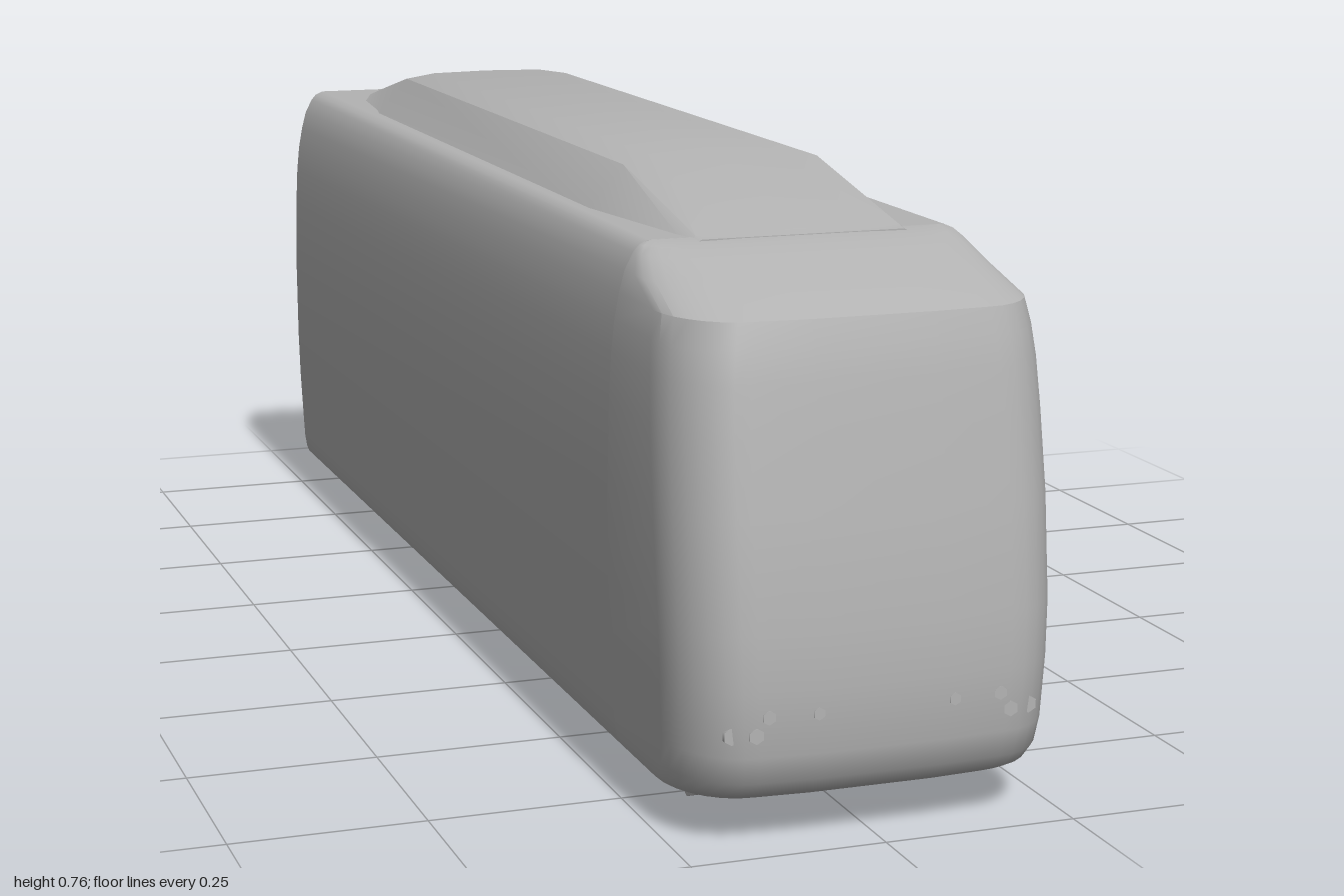
import * as THREE from 'three';
import { toCreasedNormals } from 'three/addons/utils/BufferGeometryUtils.js';

const paint = new THREE.MeshStandardMaterial({ color: 0xb4b4b4 });
paint.name = 'grey paint';

// Height, half width and front position of each body layer
const LAYERS = [
  [0.055, 0.235, 0.95], [0.065, 0.239, 0.97], [0.085, 0.242, 0.987], [0.12, 0.244, 0.997],
  [0.2, 0.248, 1.0], [0.27, 0.25, 0.998], [0.4, 0.251, 0.982], [0.5, 0.249, 0.966],
  [0.56, 0.246, 0.957], [0.6, 0.242, 0.949], [0.633, 0.236, 0.94], [0.66, 0.229, 0.855],
  [0.682, 0.218, 0.78], [0.691, 0.21, 0.745], [0.696, 0.198, 0.715],
];

// Skin a stack of closed rings and cap both ends
function loft(name, rings, crease = 0.6) {
  const n = rings[0].length, index = [];
  const last = (rings.length - 1) * n;
  for (let r = 0; r < rings.length - 1; r++) {
    for (let i = 0; i < n; i++) {
      const a = r * n + i, b = r * n + (i + 1) % n;
      index.push(a, a + n, b, b, a + n, b + n);
    }
  }
  for (let i = 1; i < n - 1; i++) {
    index.push(0, i, i + 1, last, last + i + 1, last + i);
  }
  const g = new THREE.BufferGeometry();
  g.setAttribute('position', new THREE.Float32BufferAttribute(rings.flat(2), 3));
  g.setIndex(index);
  const mesh = new THREE.Mesh(toCreasedNormals(g, crease), paint);
  mesh.name = name;
  return mesh;
}

// Plan outline of the cab at one layer: straight sides, rounded corners, slightly bowed front
function cabRing([y, w, front]) {
  const back = 0.7, rx = 0.085, rz = Math.min(0.11, (front - back) * 0.8);
  const half = [[w, y, back]];
  for (let i = 0; i <= 7; i++) {
    const a = (i / 7) * Math.PI / 2;
    half.push([w - rx + rx * Math.cos(a), y, front - 0.006 - rz + rz * Math.sin(a)]);
  }
  half.push([0.08, y, front - 0.001]);
  return [...half, ...half.map(([x, h, z]) => [-x, h, z]).reverse()];
}

// Cross-section of the roof fairing
function fairingRing([z, foot, shoulder, rise]) {
  const base = 0.69;
  const half = [[foot, base, z], [shoulder, base + 0.006 + rise * 0.86, z],
    [shoulder * 0.66, base + 0.006 + rise * 0.975, z]];
  return [...half.map(([x, y, zz]) => [-x, y, zz]), [0, base + 0.006 + rise, z], ...half.reverse()];
}

export function createModel() {
  const model = new THREE.Group();
  model.name = 'railcar';

  // Long body with curved sides and rounded shoulders
  model.add(loft('body', LAYERS.map(([y, w]) =>
    [[w, y, -1], [w, y, 0.7], [-w, y, 0.7], [-w, y, -1]])));

  // Cab with leaning windscreen and sloping brow
  model.add(loft('cab', LAYERS.map(cabRing)));

  // Roof fairing, tapered at both ends
  model.add(loft('roofFairing', [
    [-0.93, 0.145, 0.13, 0], [-0.84, 0.17, 0.132, 0.022], [-0.66, 0.19, 0.137, 0.064],
    [0.43, 0.19, 0.137, 0.064], [0.7, 0.152, 0.137, 0.003], [0.72, 0.148, 0.135, 0],
  ].map(fairingRing), 0.45));

  // Wheels, mostly hidden under the floor
  const wheelShape = new THREE.CylinderGeometry(0.055, 0.055, 0.02, 8).rotateZ(Math.PI / 2);
  const wheelGeometry = toCreasedNormals(wheelShape, 0.5);
  for (const side of [-1, 1]) {
    for (const z of [0.77, 0.39]) {
      const wheel = new THREE.Mesh(wheelGeometry, paint);
      wheel.name = 'wheel';
      wheel.position.set(side * 0.16, 0.055, z);
      model.add(wheel);
    }
  }

  // Small six-sided lamps set almost flush in the nose
  for (const side of [-1, 1]) {
    for (const [x, y, z, r] of [[0.193, 0.148, 0.983, 0.011], [0.165, 0.148, 0.992, 0.01],
      [0.15, 0.17, 0.994, 0.009], [0.088, 0.17, 0.998, 0.008]]) {
      const lamp = new THREE.Mesh(new THREE.CylinderGeometry(r, r, 0.009, 6).rotateX(Math.PI / 2), paint);
      lamp.name = 'lamp';
      lamp.position.set(side * x, y, z - 0.004);
      model.add(lamp);
    }
  }
  return model;
}
